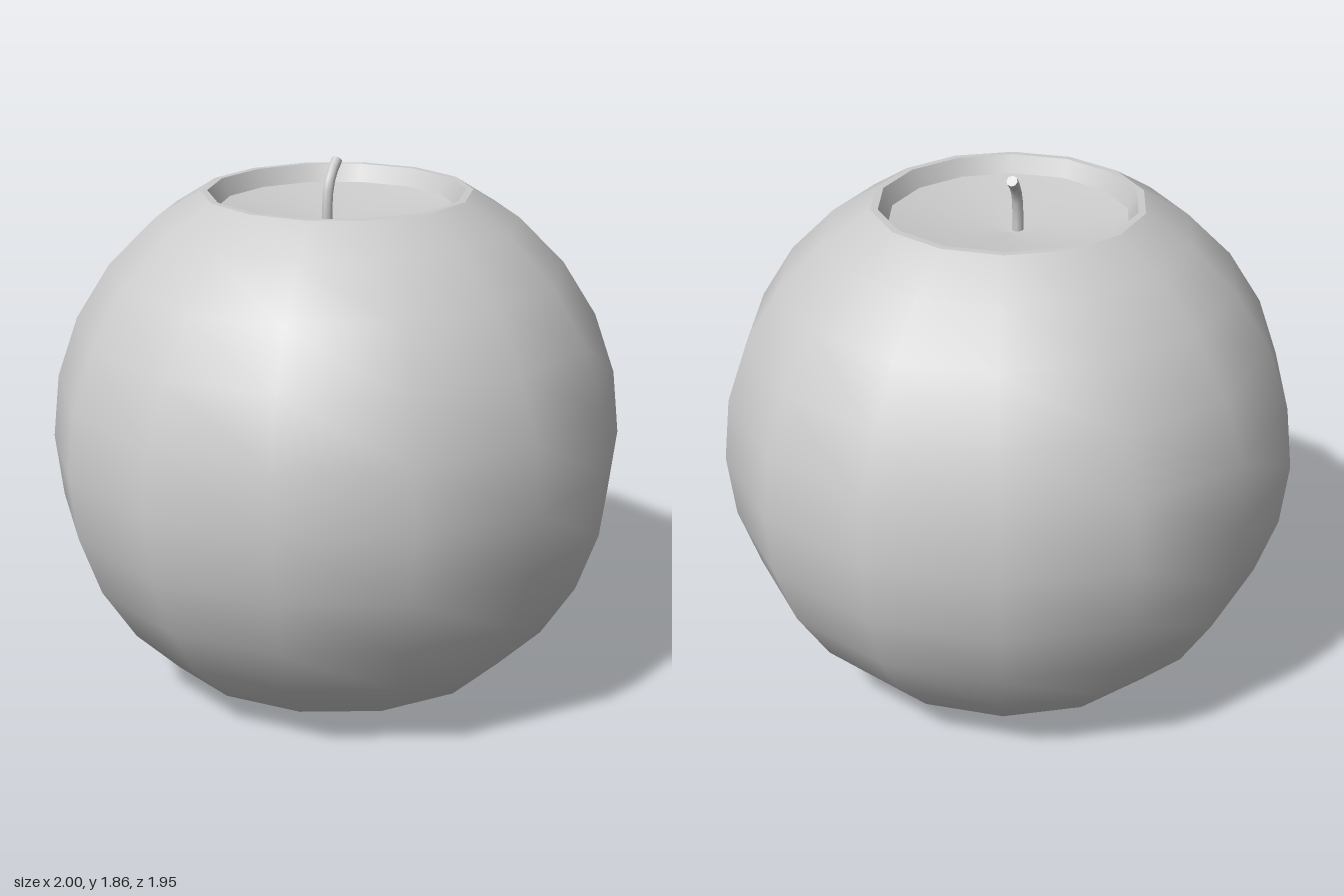
import * as THREE from 'three';

const SIDES = 14;

export function createModel() {
  const group = new THREE.Group();
  const material = new THREE.MeshStandardMaterial({ color: 0xcccccc });

  const add = (name, geometry) => {
    const mesh = new THREE.Mesh(geometry, material);
    mesh.name = name;
    group.add(mesh);
    return mesh;
  };

  // Each lathe is smooth in itself; separate lathes meet in sharp edges
  const turned = (name, profile) => add(name, new THREE.LatheGeometry(
    profile.map(([r, y]) => new THREE.Vector2(r, y)), SIDES, Math.PI / 2));

  // Round body: sphere rings, with a flattened base and a cut top
  const centreY = 0.88;
  const body = [[0, 0], [0.435, 0.02]];
  for (let i = -4; i <= 4; i++) {
    const a = (i * Math.PI) / SIDES;
    body.push([Math.cos(a), centreY + Math.sin(a)]);
  }
  body.push([0.465, 1.76]);
  turned('waxBody', body);

  // Flat lip, inner wall and dished wax pool
  turned('rim', [[0.465, 1.76], [0.44, 1.76]]);
  turned('innerWall', [[0.44, 1.76], [0.41, 1.7]]);
  turned('waxPool', [[0.41, 1.7], [0.22, 1.662], [0, 1.645]]);

  // Bent wick, leaning backwards
  const path = new THREE.CatmullRomCurve3([
    [1.63, 0.025], [1.71, 0.023], [1.77, 0.012], [1.815, -0.015], [1.85, -0.055],
  ].map(([y, z]) => new THREE.Vector3(-0.025, y, z)));
  const radius = 0.019;
  add('wick', new THREE.TubeGeometry(path, 6, radius, 8, false));

  // Cap closing the wick's tip
  const tip = add('wickTip', new THREE.CircleGeometry(radius, 8));
  tip.position.copy(path.getPoint(1));
  tip.quaternion.setFromUnitVectors(new THREE.Vector3(0, 0, 1), path.getTangent(1));

  return group;
}
